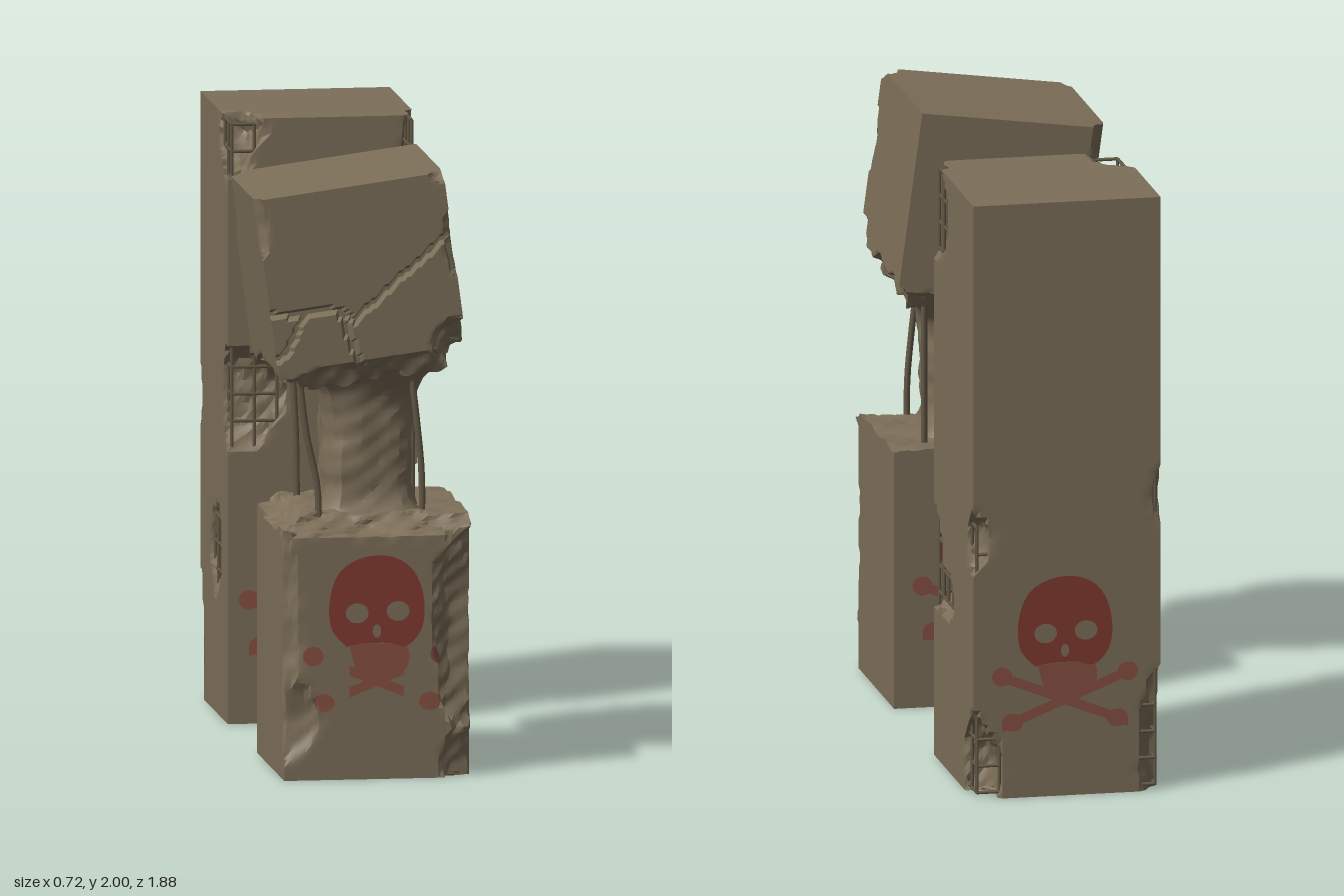
import * as THREE from 'three';
import { mergeGeometries, toCreasedNormals } from 'three/addons/utils/BufferGeometryUtils.js';

const V = (x, y, z) => new THREE.Vector3(x, y, z);

// Smooth repeatable roughness in about -1..1
const rough = (p) =>
  0.6 * Math.sin(23 * p.x + 11 * p.y + 5 * p.z) * Math.cos(19 * p.y - 27 * p.z + 2) +
  0.4 * Math.sin(61 * p.x - 37 * p.y + 1) * Math.cos(53 * p.z + 47 * p.y);

// Chip: ellipsoid centre, radii and carving direction
const chip = (cx, cy, cz, rx, ry, rz, dx, dy, dz) => ({ c: V(cx, cy, cz), r: V(rx, ry, rz), d: V(dx, dy, dz).normalize() });

// Slide a surface point along the carving direction until it leaves each chip
function carve(p, chips) {
  for (const { c, r, d } of chips) {
    const k = r.clone().multiplyScalar(1 + 0.18 * rough(p));
    const q = p.clone().sub(c).divide(k), e = d.clone().divide(k);
    const out = q.lengthSq() - 1;
    if (out >= 0) continue;
    const a = e.lengthSq(), b = q.dot(e);
    p.addScaledVector(d, (-b + Math.sqrt(b * b - a * out)) / a);
  }
  return p;
}

function deform(geo, rule) {
  const pos = geo.attributes.position, p = V(0, 0, 0);
  for (let i = 0; i < pos.count; i++) {
    rule(p.fromBufferAttribute(pos, i));
    pos.setXYZ(i, p.x, p.y, p.z);
  }
  geo.computeVertexNormals();
  return geo;
}

// Concrete block with chips carved out of it
function block(size, centre, segs, chips, extra = () => {}) {
  const geo = new THREE.BoxGeometry(...size, ...segs).translate(...centre);
  return toCreasedNormals(deform(geo, (p) => { extra(p); carve(p, chips); }), 0.5);
}

// Straight reinforcing bar between two points
function bar(a, b, r) {
  const dir = b.clone().sub(a);
  const geo = new THREE.CylinderGeometry(r, r, dir.length(), 5);
  geo.applyQuaternion(new THREE.Quaternion().setFromUnitVectors(V(0, 1, 0), dir.normalize()));
  return geo.translate(...a.clone().add(b).multiplyScalar(0.5).toArray());
}

const tallChips = [
  chip(-0.27, 2, -0.32, 0.12, 0.2, 0.2, 1, -0.8, -1),
  chip(0.355, 1.86, -0.32, 0.06, 0.17, 0.2, -1, 0, -0.6),
  chip(0.355, 0.67, -0.32, 0.13, 0.16, 0.15, -1, 0, -1),
  chip(0.355, 0.59, -0.5, 0.05, 0.08, 0.11, -1, 0, 0),
  chip(0.355, 0.86, -0.94, 0.06, 0.09, 0.1, -1, 0, 1),
  chip(0.355, 0.08, -0.94, 0.1, 0.2, 0.15, -1, 0.3, 1),
  chip(-0.27, 0.55, -0.59, 0.06, 0.14, 0.12, 1, 0, 0),
  chip(-0.27, 0.15, -0.94, 0.07, 0.27, 0.07, 1, 0, 1),
  chip(-0.27, 1, -0.94, 0.03, 0.08, 0.03, 1, 0, 1),
  chip(-0.27, 1.08, -0.32, 0.18, 0.17, 0.09, 1, 0, -1),
];
const lowerChips = [
  chip(0.04, 0.88, 0.94, 0.42, 0.08, 0.14, 0, -1, -1),
  chip(-0.265, 0.88, 0.6, 0.1, 0.07, 0.4, 1, -1, 0),
  chip(0.355, 0.5, 0.94, 0.13, 0.36, 0.08, -1, 0, -1),
  chip(-0.265, 0.52, 0.94, 0.05, 0.34, 0.05, 1, 0, -1),
  chip(-0.265, 0.2, 0.94, 0.12, 0.14, 0.04, 1, 0, -1),
  chip(0.355, 0.05, 0.94, 0.1, 0.13, 0.06, -1, 0.3, -1),
];
const upperChips = [
  chip(0, -0.34, 0.31, 0.5, 0.1, 0.08, 0, 1, -1),
  chip(0, -0.34, -0.31, 0.5, 0.08, 0.05, 0, 1, 1),
  chip(0.314, -0.34, 0, 0.07, 0.11, 0.45, -1, 1, 0),
  chip(-0.314, -0.34, 0, 0.1, 0.1, 0.45, 1, 1, 0),
  chip(0.314, -0.28, 0.31, 0.12, 0.14, 0.09, -1, 0.5, -1),
  chip(0.314, 0.1, 0.31, 0.03, 0.1, 0.03, -1, 0, -1),
  chip(0.314, 0.338, 0.31, 0.06, 0.03, 0.06, -1, -1, -1),
  chip(-0.314, 0.338, -0.31, 0.05, 0.22, 0.07, 1, -0.3, 1),
  chip(-0.314, 0.28, 0.31, 0.03, 0.15, 0.05, 1, 0, -1),
];

// Crack lines across the front of the tilted block
const cracks = [
  [[-0.32, -0.046], [-0.084, -0.064], [-0.039, -0.101], [0.161, 0.034], [0.32, 0.144]],
  [[-0.084, -0.064], [-0.052, -0.2], [-0.034, -0.3]],
  [[-0.2, -0.055], [-0.27, -0.17], [-0.32, -0.2]],
];
function crackDistance(x, y) {
  let best = 1;
  for (const line of cracks) for (let i = 1; i < line.length; i++) {
    const [ax, ay] = line[i - 1], [bx, by] = line[i], ux = bx - ax, uy = by - ay;
    const t = THREE.MathUtils.clamp(((x - ax) * ux + (y - ay) * uy) / (ux * ux + uy * uy), 0, 1);
    best = Math.min(best, Math.hypot(x - ax - t * ux, y - ay - t * uy));
  }
  return best;
}

// Steel lattice just under the surface, only where chips expose it
function cage() {
  const n = 8, ring = [], x0 = -0.255, x1 = 0.34, z0 = -0.925, z1 = -0.335;
  for (const [a, b, c, d] of [[x0, z0, x1, z0], [x1, z0, x1, z1], [x1, z1, x0, z1], [x0, z1, x0, z0]])
    for (let i = 0; i < n; i++) ring.push([a + (c - a) * i / n, b + (d - b) * i / n]);
  const parts = [], step = 0.0891;
  const add = (a, b) => {
    const m = a.clone().add(b).multiplyScalar(0.5);
    if (tallChips.some(({ c, r }) => m.clone().sub(c).divide(r).lengthSq() < 1.1)) parts.push(bar(a, b, 0.006));
  };
  for (let k = 0; k < 23; k++) ring.forEach(([x, z], i) => {
    const y = 0.02 + k * step, [nx, nz] = ring[(i + 1) % ring.length];
    add(V(x, y, z), V(nx, y, nz));
    if (k < 22) add(V(x, y, z), V(x, y + step, z));
  });
  return mergeGeometries(parts);
}

// Painted skull and bones, drawn around x = 0 with y in final height
const blob = (pts) => new THREE.Shape(new THREE.SplineCurve([...pts, pts[0]].map(([x, y]) => new THREE.Vector2(x, y))).getPoints(40));
const oval = (Type, x, y, rx, ry, turn = 0) => new Type().absellipse(x, y, rx, ry, 0, Math.PI * 2, false, turn);
function skullShapes(worn) {
  const cranium = blob([[-0.1, 0.44], [-0.15, 0.5], [-0.155, 0.6], [-0.12, 0.69], [-0.04, 0.735], [0.05, 0.735], [0.12, 0.69], [0.155, 0.6], [0.15, 0.5], [0.1, 0.44], [0.04, 0.45], [-0.04, 0.45]]);
  cranium.holes.push(oval(THREE.Path, -0.065, 0.55, 0.038, 0.033), oval(THREE.Path, 0.07, 0.555, 0.038, 0.033), oval(THREE.Path, 0, 0.49, 0.014, 0.022));
  const light = [blob([[-0.09, 0.44], [-0.04, 0.448], [0.04, 0.448], [0.1, 0.438], [0.1, 0.37], [0.04, 0.34], [-0.04, 0.34], [-0.07, 0.37]])];
  for (const s of [-1, 1]) {
    light.push(oval(THREE.Shape, s * 0.21, 0.41, 0.034, 0.032), oval(THREE.Shape, s * 0.175, 0.255, 0.036, 0.03));
    // crossed bones, only their middle left where worn
    const reach = worn ? 0.09 : 0.21;
    const h = (x) => 0.325 + s * x * 0.4;
    light.push(new THREE.Shape([[-reach, -0.017], [reach, -0.017], [reach, 0.017], [-reach, 0.017]].map(([x, o]) => new THREE.Vector2(x, h(x) + o))));
  }
  return { cranium, light };
}

export function createModel() {
  const model = new THREE.Group();
  const mat = (name, color, side = THREE.FrontSide) => Object.assign(new THREE.MeshStandardMaterial({ color, side }), { name });
  const concrete = mat('concrete', 0x7d6f59);
  const steel = mat('steel', 0x655a47);
  const darkRed = mat('darkRedPaint', 0x803a30, THREE.DoubleSide);
  const fadedRed = mat('fadedRedPaint', 0x875042, THREE.DoubleSide);
  const add = (name, geo, material, parent = model) => {
    const mesh = new THREE.Mesh(geo, material);
    mesh.name = name;
    parent.add(mesh);
    return mesh;
  };

  // Standing pillar
  add('tallPillar', block([0.625, 2, 0.62], [0.0425, 1, -0.63], [26, 80, 26], tallChips), concrete);
  add('exposedCage', cage(), steel);

  // Broken pillar: stump, core and tilted top
  add('lowerBlock', block([0.62, 0.87, 0.625], [0.045, 0.435, 0.6225], [28, 38, 28], lowerChips,
    (p) => { if (p.y > 0.86) p.y += 0.012 * rough(p) - 0.006; }), concrete);

  const core = new THREE.CylinderGeometry(1, 1, 0.54, 32, 22, true);
  deform(core, (p) => {
    const a = Math.atan2(p.z, p.x), y = p.y;
    const square = (Math.cos(a) ** 4 + Math.sin(a) ** 4) ** -0.25;
    const flare = 0.09 * Math.max(0, Math.abs(y) / 0.27 - 0.45) ** 2 * 3;
    const r = (0.146 + flare) * square + 0.014 * rough(V(p.x * 0.16, y, p.z * 0.16));
    p.set(0.045 + r * Math.cos(a), y + 1.07, 0.625 + r * Math.sin(a));
  });
  add('brokenCore', toCreasedNormals(core, 0.5), concrete);

  const top = new THREE.Group();
  top.name = 'tiltedTop';
  top.position.set(-0.005, 1.625, 0.6225);
  top.rotation.z = 0.133;
  model.add(top);
  add('upperBlock', block([0.627, 0.676, 0.625], [0, 0, 0], [50, 54, 24], upperChips, (p) => {
    if (p.z > 0.31 && crackDistance(p.x, p.y + 0.006 * rough(p)) < 0.011) p.z -= 0.03;
    if (p.y < -0.33) p.y += 0.02 + 0.02 * rough(p);
  }), concrete, top);

  // Bent bars bridging the break
  const rods = [
    [[-0.2, 1.36, 0.79], [-0.17, 1.12, 0.79], [-0.135, 0.95, 0.79], [-0.13, 0.76, 0.79]],
    [[-0.17, 1.36, 0.43], [-0.155, 1.1, 0.43], [-0.15, 0.8, 0.43]],
    [[0.17, 1.36, 0.79], [0.195, 1.15, 0.79], [0.21, 0.98, 0.79], [0.21, 0.78, 0.79]],
    [[0.23, 1.36, 0.43], [0.23, 1.1, 0.43], [0.23, 0.8, 0.43]],
  ];
  rods.forEach((pts, i) => add('bentBar' + (i + 1),
    new THREE.TubeGeometry(new THREE.CatmullRomCurve3(pts.map((p) => V(...p))), 12, 0.011, 7), steel));

  // Painted marks on front and back of both pillars
  const marks = [
    ['lowerFront', 0.04, 0.935, 1, lowerChips, true], ['lowerBack', 0.05, 0.31, -1, lowerChips, false],
    ['tallFront', 0.01, -0.32, 1, tallChips, false], ['tallBack', 0.05, -0.94, -1, tallChips, false],
  ];
  for (const [name, x, z, facing, chips, worn] of marks) {
    const { cranium, light } = skullShapes(worn);
    const place = (shape, lift) => {
      const geo = new THREE.ShapeGeometry(shape, 10);
      if (facing < 0) geo.rotateY(Math.PI);
      return deform(geo.translate(x, 0, z), (p) => { carve(p, chips); p.z += facing * lift; });
    };
    add(name + 'Skull', place(cranium, 0.005), darkRed);
    add(name + 'JawAndBones', mergeGeometries(light.map((s, i) => place(s, 0.003 + i * 0.0002))), fadedRed);
  }
  return model;
}
